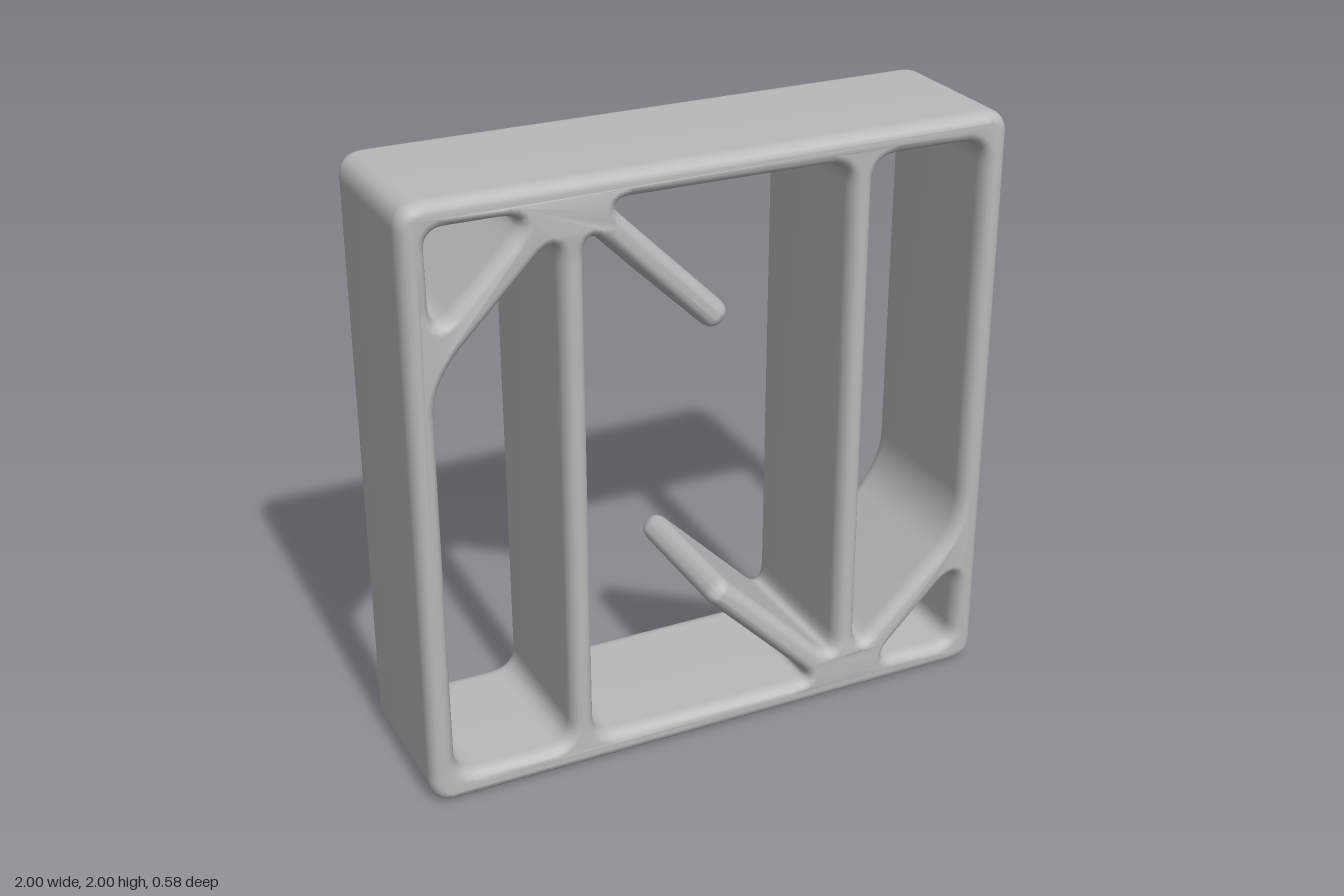
import * as THREE from 'three';
import { mergeVertices } from 'three/addons/utils/BufferGeometryUtils.js';

// Trace a closed outline of [x, y, setback] corners, rounding each corner
function roundedOutline(path, corners) {
  const n = corners.length;
  corners.forEach(([x, y, r], i) => {
    const toward = ([px, py]) => {
      const d = Math.hypot(px - x, py - y);
      return [x + ((px - x) * r) / d, y + ((py - y) * r) / d];
    };
    const a = toward(corners[(i + n - 1) % n]);
    const b = toward(corners[(i + 1) % n]);
    if (i === 0) path.moveTo(...a);
    else path.lineTo(...a);
    path.quadraticCurveTo(x, y, ...b);
  });
  path.closePath();
  return path;
}

// Half turn about the centre of the frame
const halfTurn = (corners) => corners.map(([x, y, r]) => [-x, 2 - y, r]);

export function createModel() {
  const grey = new THREE.MeshStandardMaterial({ color: 0xb9b9b9 });
  grey.name = 'grey';

  // Outer square
  const outline = roundedOutline(new THREE.Shape(), [
    [-1, 0, 0.08], [1, 0, 0.08], [1, 2, 0.08], [-1, 2, 0.08],
  ]);

  // Corner triangle above the diagonal brace
  const triangle = [
    [-0.915, 1.915, 0.06], [-0.915, 1.595, 0.1], [-0.595, 1.915, 0.1],
  ];
  // Tall slot between the side wall and the upright
  const slot = [
    [-0.915, 0.09, 0.08], [-0.52, 0.09, 0.08], [-0.52, 1.85, 0.1], [-0.915, 1.455, 0.12],
  ];
  // Half of the central opening, running around the free diagonal fin
  const centreHalf = [
    [-0.44, 0.09, 0.08], [-0.44, 1.855, 0.1],
    [-0.02, 1.435, 0.045], [0.045, 1.5, 0.045],
    [-0.37, 1.915, 0.08],
  ];
  const openings = [
    triangle, halfTurn(triangle),
    slot, halfTurn(slot),
    [...centreHalf, ...halfTurn(centreHalf)],
  ];
  outline.holes = openings.map((c) => roundedOutline(new THREE.Path(), c));

  // Extrude with softly rounded front and back edges
  const bevel = 0.05, halfDepth = 0.277;
  let geometry = new THREE.ExtrudeGeometry(outline, {
    depth: 2 * (halfDepth - bevel), steps: 2, curveSegments: 7,
    bevelThickness: bevel, bevelSize: 0.034, bevelOffset: -0.034, bevelSegments: 4,
  });
  geometry.translate(0, 0, bevel - halfDepth);

  // Slight swelling where the braces and uprights meet the frame
  const swellings = [[-0.48, 1.9], [0.48, 0.1], [-0.95, 1.54], [0.95, 0.46]];
  const pos = geometry.attributes.position;
  for (let i = 0; i < pos.count; i++) {
    let swell = 0;
    for (const [x, y] of swellings) {
      const d2 = (pos.getX(i) - x) ** 2 + (pos.getY(i) - y) ** 2;
      swell += 0.05 * Math.exp(-d2 / 0.025);
    }
    pos.setZ(i, pos.getZ(i) * (1 + swell));
  }

  // Weld for smooth normals
  geometry.deleteAttribute('uv');
  geometry.deleteAttribute('normal');
  geometry.clearGroups();
  geometry = mergeVertices(geometry, 1e-5);
  geometry.computeVertexNormals();

  const frame = new THREE.Mesh(geometry, grey);
  frame.name = 'bracedFrame';
  const group = new THREE.Group();
  group.name = 'shelfFrame';
  group.add(frame);
  return group;
}
